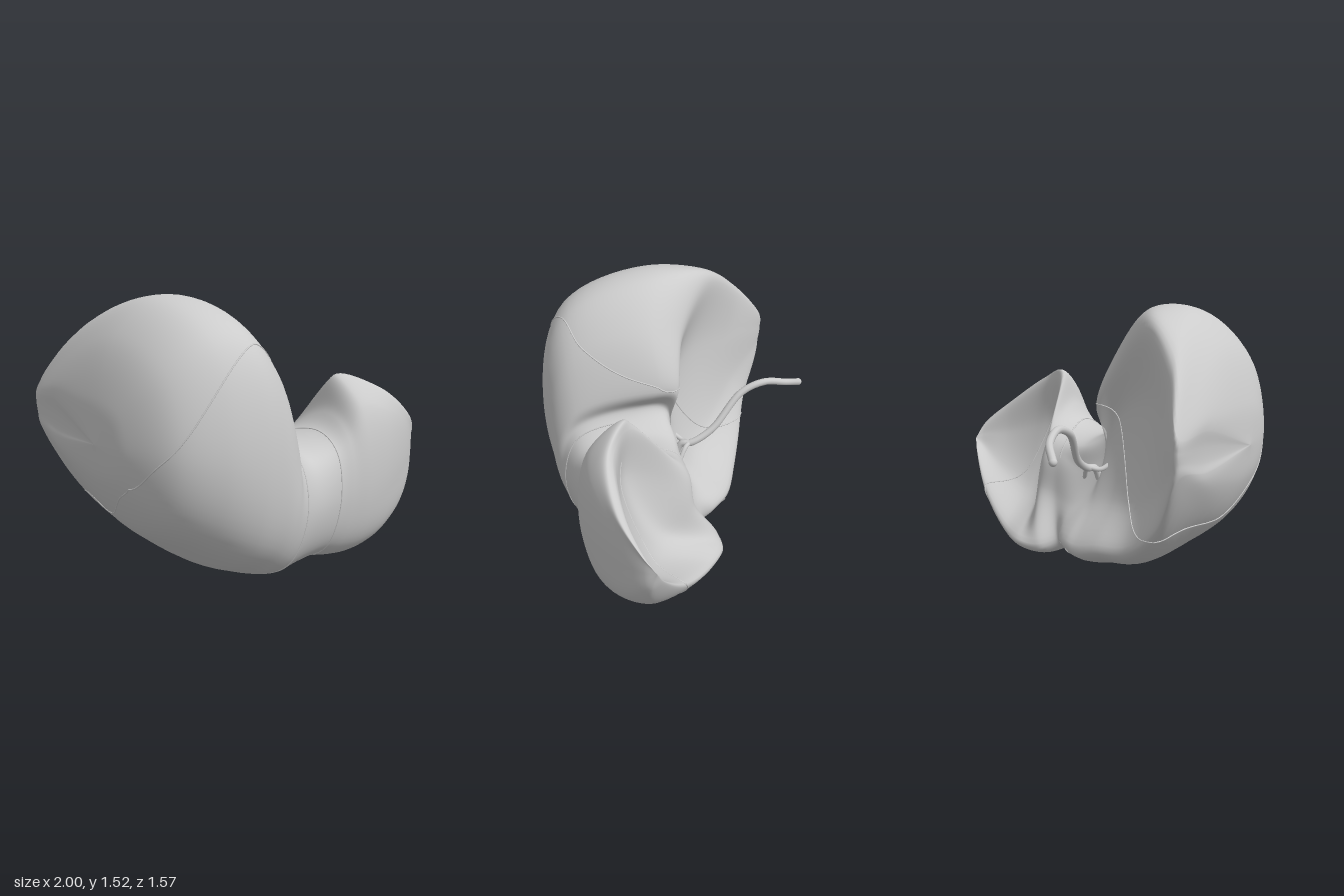
import * as THREE from 'three';

const V = (a) => new THREE.Vector3(...a);
const grey = new THREE.MeshStandardMaterial({ color: 0xcccccc, side: THREE.DoubleSide });

// Lengthwise rails of the organ, all running from the right tip to the left tip
const TIP_R = [-1, 0.8, 0.08], TIP_L = [1, 0.57, 0.38];
const rail = (...pts) => new THREE.CatmullRomCurve3([TIP_R, ...pts, TIP_L].map(V));

const top = rail(
  [-0.97, 1.03, 0.06], [-0.85, 1.32, 0], [-0.65, 1.5, 0.05], [-0.42, 1.5, 0.12], [-0.2, 1.28, 0.18], [-0.08, 0.96, 0.16], [-0.14, 0.83, 0.28],
  [-0.02, 0.72, 0.38], [0.19, 0.77, 0.43], [0.27, 0.87, 0.44], [0.335, 1.06, 0.41], [0.55, 0.99, 0.54], [0.8, 0.82, 0.54], [0.965, 0.67, 0.45]);
const front = rail(
  [-0.98, 0.8, 0.35], [-0.87, 0.8, 0.61], [-0.67, 0.78, 0.74], [-0.46, 0.74, 0.78], [-0.32, 0.66, 0.765], [-0.22, 0.52, 0.745], [-0.15, 0.43, 0.715],
  [0, 0.4, 0.68], [0.16, 0.4, 0.66], [0.25, 0.4, 0.67], [0.37, 0.4, 0.68], [0.55, 0.45, 0.66], [0.8, 0.52, 0.56], [0.965, 0.56, 0.44]);
const bottom = rail(
  [-0.97, 0.6, 0.05], [-0.85, 0.37, 0.05], [-0.65, 0.2, 0.1], [-0.48, 0.09, 0.2], [-0.36, 0.045, 0.23], [-0.3, 0.03, 0.25], [-0.24, 0.02, 0.25],
  [-0.06, 0.03, 0.2], [0.1, 0.035, 0.2], [0.2, 0.01, 0.2], [0.35, 0, 0.2], [0.55, 0.05, 0.28], [0.8, 0.2, 0.36], [0.965, 0.44, 0.4]);
const backRim = rail(
  [-0.955, 0.75, -0.4], [-0.92, 0.77, -0.66], [-0.75, 0.45, -0.55], [-0.55, 0.28, -0.47], [-0.32, 0.22, -0.38], [-0.16, 0.17, -0.31], [-0.06, 0.17, -0.25],
  [0.03, 0.17, -0.16], [0.09, 0.13, -0.06], [0.19, 0.09, -0.13], [0.32, 0.1, -0.14], [0.5, 0.13, -0.03], [0.8, 0.29, 0.19], [0.965, 0.49, 0.34]);
const innerLow = rail(
  [-0.945, 0.8, -0.4], [-0.915, 0.84, -0.69], [-0.72, 0.65, -0.45], [-0.5, 0.5, -0.25], [-0.28, 0.45, -0.1], [-0.14, 0.42, -0.04], [-0.08, 0.4, -0.02],
  [0.02, 0.36, -0.02], [0.16, 0.38, 0.02], [0.29, 0.4, 0.03], [0.4, 0.34, 0.24], [0.55, 0.33, 0.3], [0.8, 0.42, 0.37], [0.965, 0.53, 0.4]);
const innerHigh = rail(
  [-0.945, 0.88, -0.4], [-0.915, 0.9, -0.7], [-0.71, 0.95, -0.41], [-0.5, 1, -0.14], [-0.28, 0.9, 0.03], [-0.15, 0.75, 0.07], [-0.14, 0.62, 0.06],
  [0, 0.55, 0.05], [0.15, 0.6, 0.05], [0.27, 0.6, 0.06], [0.37, 0.72, 0.42], [0.55, 0.68, 0.47], [0.8, 0.61, 0.47], [0.965, 0.59, 0.42]);
const upperRim = rail(
  [-0.955, 0.96, -0.4], [-0.92, 0.97, -0.69], [-0.78, 1.25, -0.48], [-0.54, 1.42, -0.24], [-0.28, 1.24, -0.03], [-0.1, 0.92, 0.04], [-0.16, 0.8, 0.1],
  [-0.02, 0.69, 0.08], [0.14, 0.69, 0.11], [0.25, 0.72, 0.13], [0.35, 1, 0.385], [0.53, 0.97, 0.5], [0.8, 0.8, 0.5], [0.965, 0.65, 0.43]);

const STATIONS = 15, SIDES = 9;

// Rounded shoulder between the front rail and the top or bottom rail
function shoulder(edge, face) {
  return new THREE.Vector3((edge.x + face.x) / 2,
    face.y + (edge.y - face.y) * 0.75, edge.z + (face.z - edge.z) * 0.78);
}

// Closed cross-section at station u (0 to 15)
function section(u) {
  const [t, f, b, r, lo, hi, up] = [top, front, bottom, backRim, innerLow, innerHigh, upperRim]
    .map((c) => c.getPoint(u / STATIONS));
  return new THREE.CatmullRomCurve3([t, shoulder(t, f), f, shoulder(b, f), b, r, lo, hi, up], true);
}

function surfacePoint(ring, v) {
  const p = ring.getPoint((((v / SIDES) % 1) + 1) % 1);
  p.y = Math.max(0, p.y);
  return p;
}

// Lofted body, divided into named segments that share smooth normals
function body(segments) {
  const per = 10, rows = STATIONS * per, cols = SIDES * 9;
  const pos = [];
  for (let i = 0; i <= rows; i++) {
    const ring = section(i / per);
    for (let j = 0; j < cols; j++) pos.push(...surfacePoint(ring, (j / cols) * SIDES).toArray());
  }
  const indices = (from, to) => {
    const out = [];
    for (let i = from; i < to; i++) {
      for (let j = 0; j < cols; j++) {
        const a = i * cols + j, b = i * cols + ((j + 1) % cols), c = a + cols, d = b + cols;
        out.push(a, b, c, b, d, c);
      }
    }
    return out;
  };
  const whole = new THREE.BufferGeometry();
  whole.setAttribute('position', new THREE.Float32BufferAttribute(pos, 3));
  whole.setIndex(indices(0, rows));
  whole.computeVertexNormals();
  return segments.map(([name, from, to]) => {
    const geo = whole.clone();
    geo.setIndex(indices(from * per, to * per));
    const mesh = new THREE.Mesh(geo, grey);
    mesh.name = name;
    return mesh;
  });
}

function tube(name, points, radius, steps) {
  const mesh = new THREE.Mesh(new THREE.TubeGeometry(new THREE.CatmullRomCurve3(points), steps, radius, 10), grey);
  mesh.name = name;
  return mesh;
}

// Fine seam lying on the surface through [station, side] pairs
function seam(name, pairs) {
  const path = new THREE.CatmullRomCurve3(pairs.map(([u, v]) => new THREE.Vector3(u, v, 0)));
  const pts = path.getPoints(70).map((p) => surfacePoint(section(p.x), p.y));
  return tube(name, pts, 0.004, 140);
}

export function createModel() {
  const group = new THREE.Group();
  group.name = 'liver';
  group.add(...body([['rightLobe', 0, 7], ['middleSegment', 7, 9], ['leftLobe', 9, 15]]));

  // Segment boundaries
  group.add(
    seam('rightLobeSeam', [[1.2, 3], [1.6, 2.2], [2.5, 1.6], [4, 1], [5, 0.75], [5.7, 0.3], [6, -0.4],
      [5.8, -1.2], [4.7, -2.6], [3.4, -3.9], [2.2, -4.7], [1.3, -5.5], [1.2, -6]]),
    seam('middleRightSeam', [[7.4, 0], [7.3, 1], [7.2, 2], [7.1, 3], [7, 4], [7, 5]]),
    seam('middleLeftSeam', [[9, -2], [9, 0], [9, 2], [9, 4], [9, 5]]),
    seam('leftLobeSeam', [[11.3, 7.4], [12, 6.4], [13, 5.2], [12.5, 4.3]]));

  // Long vessel leaving the hollow at the back, with a rounded end
  const vessel = [[-0.3, 0.8, -0.765], [-0.21, 0.86, -0.65], [-0.17, 0.9, -0.5], [-0.16, 0.85, -0.36],
    [-0.1, 0.66, -0.17], [-0.09, 0.59, -0.04], [-0.11, 0.58, 0.01], [-0.12, 0.5, 0.05]].map(V);
  group.add(tube('vessel', vessel, 0.021, 64));
  const end = new THREE.Mesh(new THREE.SphereGeometry(0.022, 14, 10), grey);
  end.name = 'vesselEnd';
  end.position.copy(vessel[0]);
  group.add(end);

  // Short branches entering the organ
  [[-0.2, 0.62, 0.06], [-0.02, 0.5, 0.05]].forEach((tip) => {
    group.add(tube('vesselBranch', [[-0.09, 0.59, -0.03], [(tip[0] - 0.1) / 2, 0.58, 0], tip].map(V), 0.014, 16));
  });
  return group;
}
